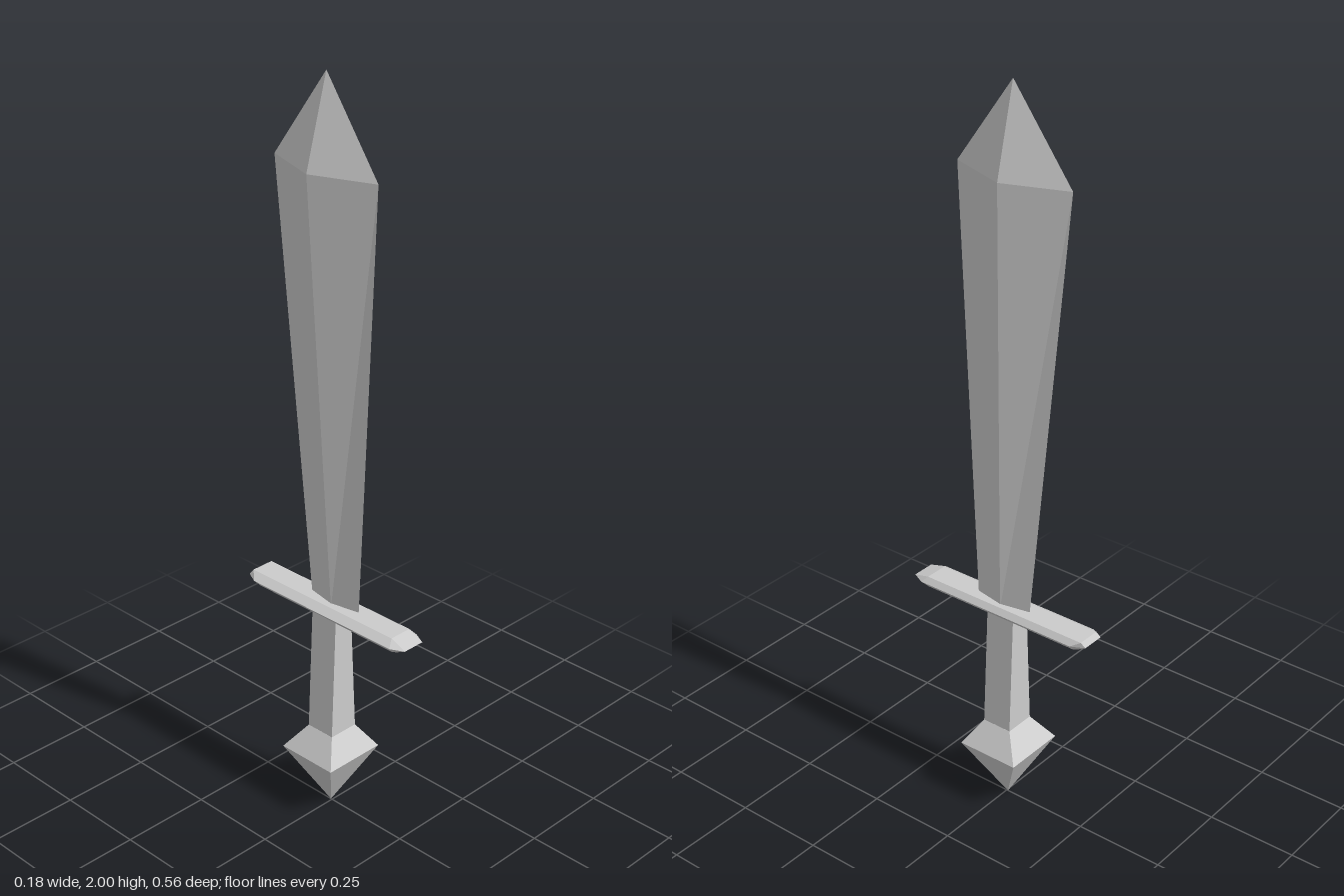
import * as THREE from 'three';

const material = new THREE.MeshStandardMaterial({ color: 0xcccccc, flatShading: true });

// Skins a stack of rings (bottom to top, counter-clockwise seen from above) and caps both ends.
function loft(name, rings) {
  const pos = [];
  const tri = (...pts) => pts.forEach((p) => pos.push(...p));
  const n = rings[0].length;
  for (let r = 0; r < rings.length - 1; r++) {
    for (let i = 0; i < n; i++) {
      const j = (i + 1) % n;
      const [a, b, c, d] = [rings[r][i], rings[r][j], rings[r + 1][j], rings[r + 1][i]];
      tri(a, b, c);
      tri(a, c, d);
    }
  }
  const first = rings[0], last = rings[rings.length - 1];
  for (let i = 1; i < n - 1; i++) {
    tri(first[0], first[i + 1], first[i]);
    tri(last[0], last[i], last[i + 1]);
  }
  const geometry = new THREE.BufferGeometry();
  geometry.setAttribute('position', new THREE.Float32BufferAttribute(pos, 3));
  geometry.computeVertexNormals();
  const mesh = new THREE.Mesh(geometry, material);
  mesh.name = name;
  return mesh;
}

// Ring shapes, each given by height and extents in x and z
const rect = (y, x0, x1, z0, z1) => [[x1, y, z1], [x1, y, z0], [x0, y, z0], [x0, y, z1]];
const diamond = (y, cx, cz, hx, hz) =>
  [[cx + hx, y, cz], [cx, y, cz - hz], [cx - hx, y, cz], [cx, y, cz + hz]];
const octagon = (y, x0, x1, z0, z1, cx, cz) => [
  [x1, y, z1 - cz], [x1, y, z0 + cz], [x1 - cx, y, z0], [x0 + cx, y, z0],
  [x0, y, z0 + cz], [x0, y, z1 - cz], [x0 + cx, y, z1], [x1 - cx, y, z1],
];

export function createModel() {
  const sword = new THREE.Group();
  sword.name = 'sword';

  // Diamond-section blade, widening upward to a pointed tip
  sword.add(loft('blade', [
    diamond(0.6, 0.012, 0, 0.016, 0.083),
    diamond(1.768, -0.004, -0.018, 0.062, 0.17),
    diamond(2, 0, -0.018, 0, 0),
  ]));

  // Bevelled crossguard
  sword.add(loft('crossguard', [
    octagon(0.577, -0.025, 0.035, -0.25, 0.245, 0.008, 0.01),
    octagon(0.598, -0.045, 0.055, -0.28, 0.28, 0.018, 0.036),
    octagon(0.613, -0.022, 0.043, -0.27, 0.23, 0, 0),
  ]));

  // Square grip, thicker toward the pommel
  sword.add(loft('grip', [
    rect(0.238, -0.043, 0.044, -0.044, 0.042),
    rect(0.59, -0.029, 0.027, -0.042, 0.042),
  ]));

  // Pyramid pommel
  sword.add(loft('pommel', [
    rect(0, 0, 0, -0.004, -0.004),
    rect(0.172, -0.09, 0.09, -0.094, 0.084),
    rect(0.24, -0.043, 0.044, -0.044, 0.042),
  ]));

  return sword;
}
